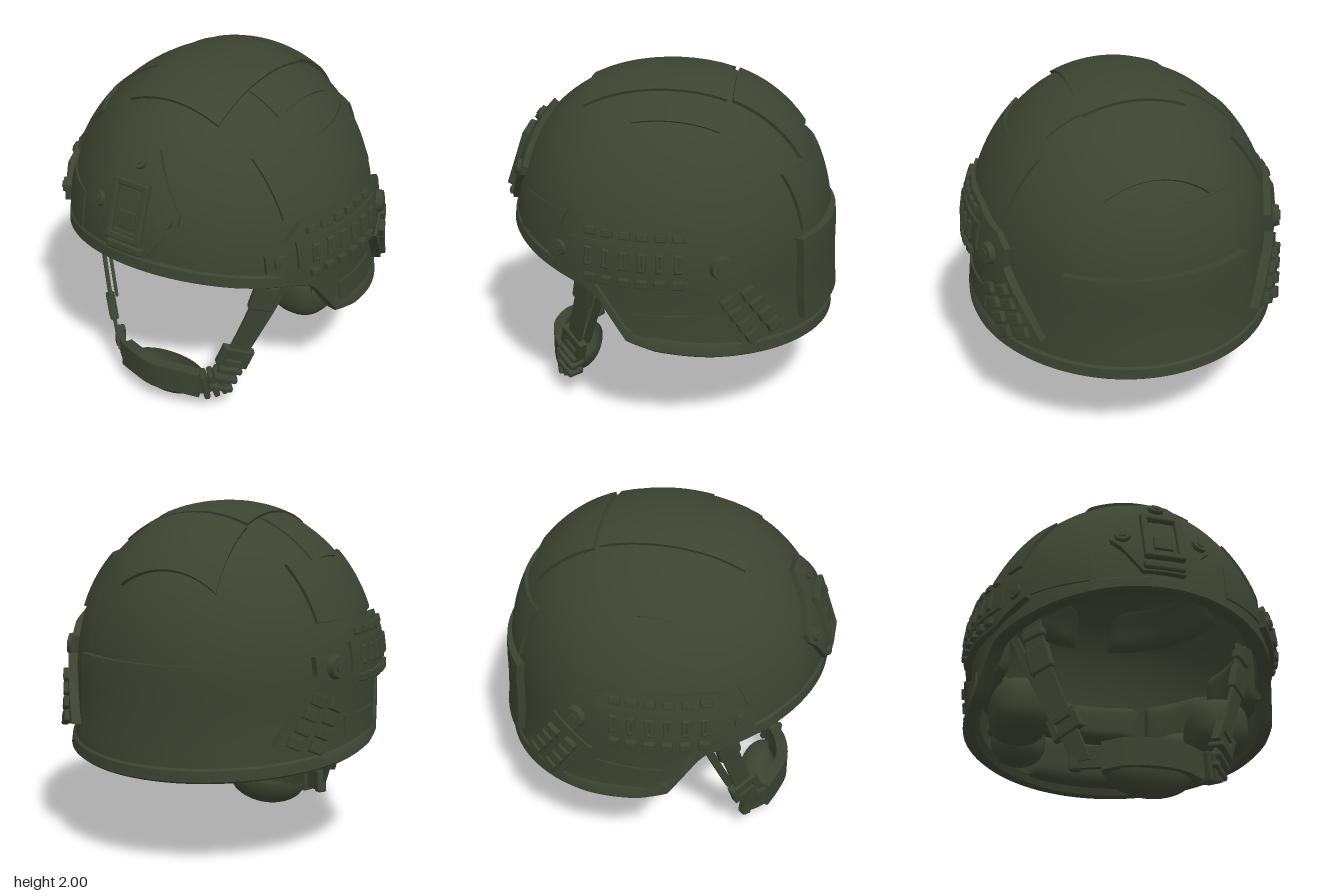
import * as THREE from 'three';
import { toCreasedNormals } from 'three/addons/utils/BufferGeometryUtils.js';
import { RoundedBoxGeometry } from 'three/addons/geometries/RoundedBoxGeometry.js';

const V = (x, y, z) => new THREE.Vector3(x, y, z);
const Y = V(0, 1, 0);

export function createModel() {
  const root = new THREE.Group();
  root.name = 'helmet';
  const olive = new THREE.MeshStandardMaterial({ color: 0x3c4331, side: THREE.DoubleSide });
  olive.name = 'olive drab';

  const add = (name, geo) => {
    const mesh = new THREE.Mesh(geo, olive);
    mesh.name = name;
    root.add(mesh);
    return mesh;
  };

  // ---- dome surface: half-widths at each height, and the cut line of the rim ----
  const arc = (y, p) => y <= 1 ? 1 + 0.03 * Math.min(1, (1 - y) / 0.4) ** 2
    : Math.max(0, 1 - ((y - 1) / 0.98) ** p) ** (1 / p);
  const halfX = y => 0.88 * arc(y, 2.05);
  const halfZ = (y, front) => (front ? 0.94 : 0.91) * arc(y, 2.3);
  const dome = (th, y) => V(halfX(y) * Math.sin(th), y, halfZ(y, Math.cos(th) > 0) * Math.cos(th));
  const field = p => p.y >= 1.98 ? 1
    : (p.x / halfX(p.y)) ** 2 + (p.z / halfZ(p.y, p.z > 0)) ** 2 - 1;
  const cut = [[-0.95, 0.55], [-0.3, 0.605], [0, 0.645], [0.16, 0.69], [0.34, 0.94], [0.45, 0.98], [0.7, 1.035], [0.95, 1.1]];
  const rimY = th => {
    const z = 0.93 * Math.cos(th);
    const k = Math.max(1, cut.findIndex(c => c[0] >= z));
    const [a, b] = [cut[k - 1], cut[k]];
    return a[1] + (b[1] - a[1]) * (z - a[0]) / (b[0] - a[0]);
  };

  // surface from rows of points
  const grid = (rows, flip = false, crease = 0.6) => {
    const n = rows[0].length, index = [];
    for (let i = 0; i < rows.length - 1; i++) for (let j = 0; j < n - 1; j++) {
      const a = i * n + j, b = a + 1, c = b + n, d = a + n;
      index.push(...(flip ? [a, c, b, a, d, c] : [a, b, c, a, c, d]));
    }
    const g = new THREE.BufferGeometry().setFromPoints(rows.flat());
    g.setIndex(index);
    return toCreasedNormals(g, crease);
  };

  // ---- projection onto the dome: each view turns (a, b) into a ray ----
  const views = {
    front: { ray: (a, b) => [V(a, b, 0), V(0, 0, 1)], flip: false },
    back: { ray: (a, b) => [V(a, b, 0), V(0, 0, -1)], flip: true },
    top: { ray: (a, b) => [V(a, 1, b), V(0, 1, 0)], flip: true },
    left: { ray: (a, b) => [V(0, b, a), V(1, 0, 0)], flip: true, s: 1 },
    right: { ray: (a, b) => [V(0, b, a), V(-1, 0, 0)], flip: false, s: -1 },
  };
  const project = (view, a, b) => {
    const [o, d] = views[view].ray(a, b);
    let lo = 0, hi = 1.2;
    for (let k = 0; k < 30; k++) {
      const mid = (lo + hi) / 2;
      if (field(o.clone().addScaledVector(d, mid)) < 0) lo = mid; else hi = mid;
    }
    const p = o.addScaledVector(d, lo), e = 0.004;
    const slope = ax => field(p.clone().addScaledVector(ax, e)) - field(p.clone().addScaledVector(ax, -e));
    if (p.y > 1.965) return { p, n: Y.clone() };
    return { p, n: V(slope(V(1, 0, 0)), slope(Y), slope(V(0, 0, 1))).normalize() };
  };

  // plate that hugs the dome between a lower and an upper polyline
  const wrap = (name, view, lower, upper, height) => {
    const M = 10, S = Math.ceil(16 / (lower.length - 1)), N = S * (lower.length - 1);
    const along = (line, j) => {
      const k = Math.min(line.length - 2, Math.floor(j / S)), t = j / S - k;
      return line[k].map((v, c) => v + (line[k + 1][c] - v) * t);
    };
    const rows = [];
    for (let i = -1; i <= M + 1; i++) {
      const row = [];
      for (let j = -1; j <= N + 1; j++) {
        const ii = Math.min(M, Math.max(0, i)), jj = Math.min(N, Math.max(0, j));
        const lo = along(lower, jj), up = along(upper, jj), t = ii / M;
        const { p, n } = project(view, lo[0] + (up[0] - lo[0]) * t, lo[1] + (up[1] - lo[1]) * t);
        row.push(p.addScaledVector(n, ii === i && jj === j ? height : -0.01));
      }
      rows.push(row);
    }
    add(name, grid(rows, views[view].flip));
  };
  const patch = (name, view, a0, a1, b0, b1, h) => wrap(name, view, [[a0, b0], [a1, b0]], [[a0, b1], [a1, b1]], h);

  // small part standing on the dome, its own z along the normal
  const seat = (name, geo, view, a, b, height, roll = 0) => {
    const { p, n } = project(view, a, b);
    const mesh = add(name, geo);
    const x = Y.clone().cross(n).normalize();
    mesh.quaternion.setFromRotationMatrix(new THREE.Matrix4().makeBasis(x, n.clone().cross(x), n));
    mesh.rotateZ(roll);
    mesh.position.copy(p).addScaledVector(n, height);
  };
  const box = (w, h, d, r = 0.008) => new RoundedBoxGeometry(w, h, d, 1, r);
  const frame = (w, h, bar, d) => {
    const rect = (C, a, b) => new C([[-a, -b], [a, -b], [a, b], [-a, b]].map(q => new THREE.Vector2(...q)));
    const shape = rect(THREE.Shape, w / 2, h / 2);
    shape.holes.push(rect(THREE.Path, w / 2 - bar, h / 2 - bar));
    return new THREE.ExtrudeGeometry(shape, { depth: d, bevelEnabled: true, bevelSize: 0.006, bevelThickness: 0.006, bevelSegments: 1 })
      .translate(0, 0, -d / 2);
  };
  const bolt = (view, a, b, h, r = 0.05) => {
    seat('bolt collar', new THREE.CylinderGeometry(r * 0.85, r, 0.04, 20).rotateX(Math.PI / 2), view, a, b, h);
    seat('bolt head', new THREE.CylinderGeometry(r * 0.45, r * 0.55, 0.03, 6).rotateX(Math.PI / 2), view, a, b, h + 0.012);
  };

  // ---- shell with inner face ----
  const TH = 144, shellRows = [];
  for (let k = 0; k <= 64; k++) {
    const inner = k > 36, v = inner ? (64 - k) / 27 : k / 36, row = [];
    for (let j = 0; j <= TH; j++) {
      const th = j / TH * Math.PI * 2, yb = rimY(th);
      const p = dome(th, yb + (1.98 - yb) * Math.cos(v * Math.PI / 2));
      row.push(inner ? V(p.x * 0.93, yb + (p.y - yb) * 0.94, p.z * 0.93) : p);
    }
    shellRows.push(row);
  }
  add('shell', grid(shellRows, true, 0.9));

  // ---- rim trim ----
  const section = [[0.065, -0.003], [0.05, 0.012], [-0.01, 0.015], [-0.022, 0], [-0.02, -0.06], [0.03, -0.08]];
  add('rim trim', grid(section.map(([dy, out]) => Array.from({ length: TH + 1 }, (_, j) => {
    const th = j / TH * Math.PI * 2, p = dome(th, rimY(th) + dy);
    return p.add(V(Math.sin(th), 0, Math.cos(th)).multiplyScalar(out));
  })), true, 0.7));

  // ---- fabric patches on the crown, back and brow ----
  patch('crown patch', 'top', -0.29, 0.29, -0.32, 0.48, 0.018);
  patch('rear crown patch', 'top', -0.3, 0.28, -0.73, -0.35, 0.022);
  patch('crown side patch', 'top', -0.63, -0.3, -0.17, 0.19, 0.01);
  patch('crown side patch', 'top', 0.3, 0.49, -0.3, 0.19, 0.01);
  patch('upper back patch', 'back', -0.46, 0.46, 1.21, 1.53, 0.022);
  patch('lower back patch', 'back', -0.5, 0.5, 0.68, 1.17, 0.048);
  patch('front patch', 'front', 0.39, 0.68, 1.13, 1.35, 0.01);
  patch('front patch', 'front', -0.68, -0.39, 1.13, 1.35, 0.01);

  // ---- sides: patches, accessory rail and rear arm ----
  for (const view of ['left', 'right']) {
    const s = views[view].s;
    patch('side patch', view, -0.38, 0.47, 1.37, 1.68, 0.02);
    patch('ear patch', view, -0.24, 0.13, 0.71, 0.84, 0.012);
    wrap('rail base', view,
      [[-0.46, 1.06], [-0.4, 0.99], [-0.25, 0.96], [-0.15, 1.0], [0.4, 1.0], [0.5, 1.05], [0.6, 1.1]],
      [[-0.46, 1.2], [-0.38, 1.27], [-0.25, 1.3], [-0.15, 1.34], [0.4, 1.34], [0.5, 1.25], [0.6, 1.2]], 0.042);
    patch('rail raised band', view, -0.22, 0.45, 1.09, 1.25, 0.058);
    wrap('rail arm', view, [[-0.68, 0.73], [-0.45, 0.66]], [[-0.47, 1.1], [-0.25, 0.95]], 0.055);
    for (let k = 0; k < 6; k++) {
      const z = 0.35 - k * 0.094;
      seat('rail rib', frame(0.035, 0.095, 0.01, 0.02), view, z, 1.165, 0.055);
      seat('rail upper tooth', box(0.065, 0.045, 0.04), view, z, 1.295, 0.042);
      seat('rail lower tooth', box(0.065, 0.045, 0.04), view, z, 1.045, 0.048);
    }
    for (let k = 0; k < 4; k++) for (const side of [-1, 1])
      seat('arm block', box(0.085, 0.068, 0.04), view, -0.42 - k * 0.042 + side * 0.05, 0.95 - k * 0.074 - side * 0.02, 0.065, s * 0.45);
    bolt(view, 0.53, 1.155, 0.04);
    bolt(view, -0.34, 1.13, 0.055, 0.07);
  }

  // ---- front mount ----
  wrap('mount plate', 'front',
    [[-0.28, 1.38], [-0.23, 1.33], [-0.12, 1.17], [0.12, 1.17], [0.23, 1.33], [0.28, 1.38]],
    [[-0.28, 1.43], [-0.23, 1.5], [-0.08, 1.71], [0.08, 1.71], [0.23, 1.5], [0.28, 1.43]], 0.035);
  seat('mount frame', frame(0.22, 0.33, 0.025, 0.03), 'front', 0, 1.405, 0.035);
  seat('mount latch', box(0.11, 0.1, 0.03), 'front', 0, 1.36, 0.034);
  seat('mount latch bar', box(0.17, 0.04, 0.035), 'front', 0, 1.28, 0.034);
  seat('mount lip', box(0.24, 0.05, 0.05, 0.015), 'front', 0, 1.205, 0.028);
  bolt('front', 0, 1.645, 0.035);
  bolt('front', -0.21, 1.4, 0.035);
  bolt('front', 0.21, 1.4, 0.035);

  // ---- liner pads that follow the inside of the shell (angles in degrees from the front) ----
  const pad = (a0, a1, y0, y1, thick) => {
    const rows = [];
    for (let i = 0; i <= 14; i++) {
      const v = i / 7 - 1, row = [];
      for (let j = 0; j <= 18; j++) {
        const u = j / 9 - 1, th = THREE.MathUtils.degToRad((a0 + a1 + u * (a1 - a0)) / 2);
        const p = dome(th, (y0 + y1 + v * (y1 - y0)) / 2);
        const k = 0.94 - thick * Math.sqrt((1 - u ** 6) * (1 - v ** 6));
        row.push(V(p.x * k, p.y, p.z * k));
      }
      rows.push(row);
    }
    add('liner pad', grid(rows, true, 1));
  };
  pad(-28, 28, 1.13, 1.48, 0.1);
  pad(155, 205, 0.87, 1.12, 0.13);
  pad(150, 210, 0.57, 0.86, 0.12);
  for (const s of [-1, 1]) {
    pad(s * 50 - 20, s * 50 + 20, 1.08, 1.45, 0.1);
    pad(s * 95 - 23, s * 95 + 23, 0.8, 1.2, 0.14);
    pad(s * 136 - 17, s * 136 + 17, 0.7, 1.12, 0.14);
    for (const a of [45, 135]) pad(s * a - 38, s * a + 38, 1.48, 1.75, 0.12);
  }

  // ---- soft cushions that hang below the rim ----
  const cushion = (name, at, size, turn = 0) => {
    const g = new THREE.SphereGeometry(1, 28, 20), p = g.attributes.position;
    for (let i = 0; i < p.count; i++) {
      const q = [p.getX(i), p.getY(i), p.getZ(i)].map((c, k) => Math.sign(c) * Math.abs(c) ** 0.8 * size[k]);
      p.setXYZ(i, ...q);
    }
    g.computeVertexNormals();
    const m = add(name, g);
    m.position.set(...at);
    m.rotation.y = turn;
  };
  for (const s of [-1, 1]) {
    cushion('ear cushion', [s * 0.6, 0.68, 0], [0.18, 0.18, 0.23]);
    cushion('nape side cushion', [s * 0.52, 0.68, -0.46], [0.16, 0.15, 0.15], -s * 0.5);
  }
  cushion('crown cushion', [0, 1.78, 0], [0.35, 0.08, 0.4]);

  // ---- chin straps: flat webbing along a curve, returning a helper that mounts parts on it ----
  const strap = (name, pts, w, width, thick) => {
    const curve = new THREE.CatmullRomCurve3(pts.map(q => V(...q)));
    const ring = (u, k) => {
      const c = curve.getPoint(u), n = curve.getTangent(u).cross(w).normalize();
      return [[-1, -1], [1, -1], [1, 1], [-1, 1], [-1, -1]].map(([a, b]) =>
        c.clone().addScaledVector(w, a * k * width / 2).addScaledVector(n, b * k * thick / 2));
    };
    const rows = [ring(0, 0)];
    for (let i = 0; i <= 20; i++) rows.push(ring(i / 20, 1));
    rows.push(ring(1, 0));
    add(name, grid(rows));
    return (part, geo, u) => {
      const m = add(part, geo), t = curve.getTangent(u), n = t.clone().cross(w).normalize();
      m.quaternion.setFromRotationMatrix(new THREE.Matrix4().makeBasis(t.clone().cross(n).negate(), t, n.clone().negate()));
      m.position.copy(curve.getPoint(u));
    };
  };
  for (const s of [-1, 1]) {
    const diagonal = V(s, 0, -1).normalize();
    const on = strap('front strap', [[s * 0.63, 1.06, 0.42], [s * 0.58, 0.8, 0.46], [s * 0.47, 0.45, 0.54], [s * 0.37, 0.17, 0.6]], diagonal, 0.12, 0.022);
    on('strap keeper', box(0.15, 0.17, 0.05, 0.015), 0.32);
    on('strap loop', box(0.14, 0.06, 0.06, 0.015), 0.12);
    on('strap buckle', frame(0.18, 0.12, 0.035, 0.04), 0.73);
    strap('rear strap', [[s * 0.7, 1.0, 0.3], [s * 0.6, 0.72, 0.38], [s * 0.48, 0.42, 0.47]], diagonal, 0.05, 0.02);
    if (s > 0) for (const u of [0.82, 0.9, 0.98]) on('gathered webbing', box(0.15, 0.035, 0.1, 0.012), u);
  }
  const onBand = strap('chin band', [[-0.4, 0.2, 0.55], [-0.27, 0.18, 0.66], [0, 0.19, 0.72], [0.27, 0.18, 0.66], [0.4, 0.22, 0.55]], Y, 0.12, 0.03);
  for (const u of [0.8, 0.87, 0.94]) onBand('gathered webbing', box(0.17, 0.035, 0.1, 0.012), u);
  onBand('chin adjuster', box(0.14, 0.06, 0.06, 0.012), 0.02);
  strap('chin pad', [[-0.27, 0.18, 0.65], [-0.15, 0.2, 0.7], [0, 0.2, 0.73], [0.15, 0.2, 0.7], [0.27, 0.18, 0.65]], Y, 0.16, 0.07);
  const cup = add('chin cup', new THREE.SphereGeometry(1, 32, 12, 0, Math.PI * 2, Math.PI / 2, Math.PI / 2));
  cup.scale.set(0.26, 0.16, 0.13);
  cup.position.set(0, 0.16, 0.6);

  return root;
}
